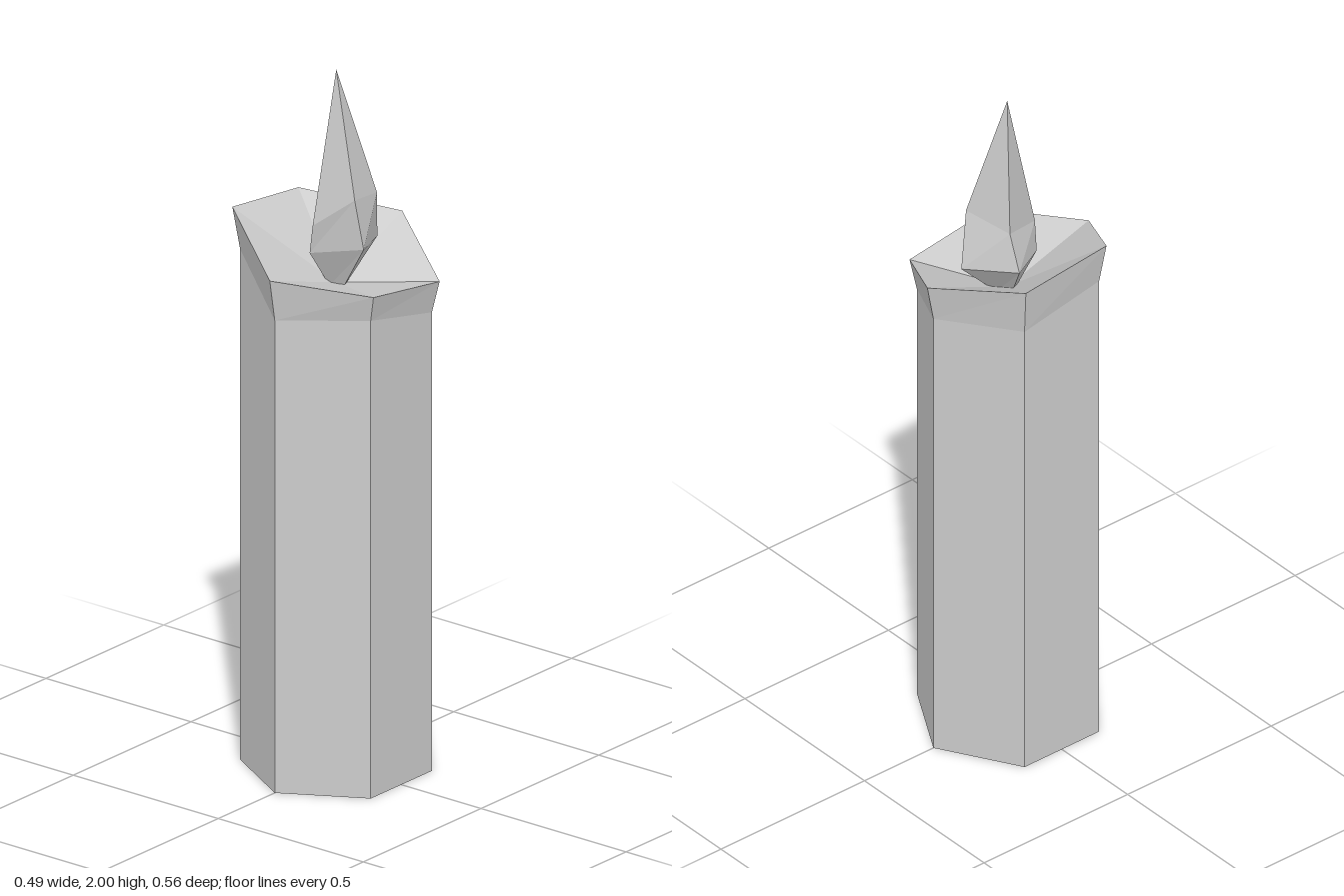
import * as THREE from 'three';

// Joins cross-sections (bottom to top, counterclockwise from above); a ring of one point closes an end.
function loft(rings) {
  const pos = [];
  const n = Math.max(...rings.map((r) => r.length));
  const at = (ring, i) => ring[i % ring.length];
  for (let k = 0; k < rings.length - 1; k++) {
    const lo = rings[k], hi = rings[k + 1];
    for (let i = 0; i < n; i++) {
      const a = at(lo, i), b = at(lo, i + 1), c = at(hi, i + 1), d = at(hi, i);
      if (lo.length > 1) pos.push(...a, ...b, ...c);
      if (hi.length > 1) pos.push(...a, ...c, ...d);
    }
  }
  const geometry = new THREE.BufferGeometry();
  geometry.setAttribute('position', new THREE.Float32BufferAttribute(pos, 3));
  geometry.computeVertexNormals();
  return geometry;
}

// Hexagon starting at the front corner, with its own height at each corner.
function hexagon(radius, heights) {
  return heights.map((y, i) => {
    const a = (i * Math.PI) / 3;
    return [radius * Math.sin(a), y, radius * Math.cos(a)];
  });
}

export function createModel() {
  const group = new THREE.Group();
  group.name = 'candle';
  const grey = new THREE.MeshStandardMaterial({ color: 0xcccccc, flatShading: true });
  grey.name = 'light grey';

  const add = (name, rings) => {
    const mesh = new THREE.Mesh(loft(rings), grey);
    mesh.name = name;
    group.add(mesh);
  };

  // Wax column with a flared, uneven rim and a sunken top
  add('waxBody', [
    [[0, 0, 0]],
    hexagon(0.26, [0, 0, 0, 0, 0, 0]),
    hexagon(0.26, [1.36, 1.375, 1.32, 1.4, 1.42, 1.47]),
    hexagon(0.281, [1.48, 1.45, 1.41, 1.51, 1.56, 1.59]),
    [[0, 1.39, 0]],
  ]);

  // Four-sided twisted flame, narrowing to its foot in the wax
  const lower = [[0.132, 1.53, 0.045], [0.032, 1.49, -0.136], [-0.127, 1.53, -0.066], [-0.03, 1.49, 0.075]];
  const upper = [[0.11, 1.67, 0.056], [0.07, 1.64, -0.088], [-0.08, 1.63, -0.06], [-0.013, 1.575, 0.083]];
  const foot = lower.map(([x, , z]) => [x * 0.25, 1.385, z * 0.25]);
  add('flame', [[[0, 1.38, 0]], foot, lower, upper, [[-0.004, 2, -0.006]]]);

  return group;
}
